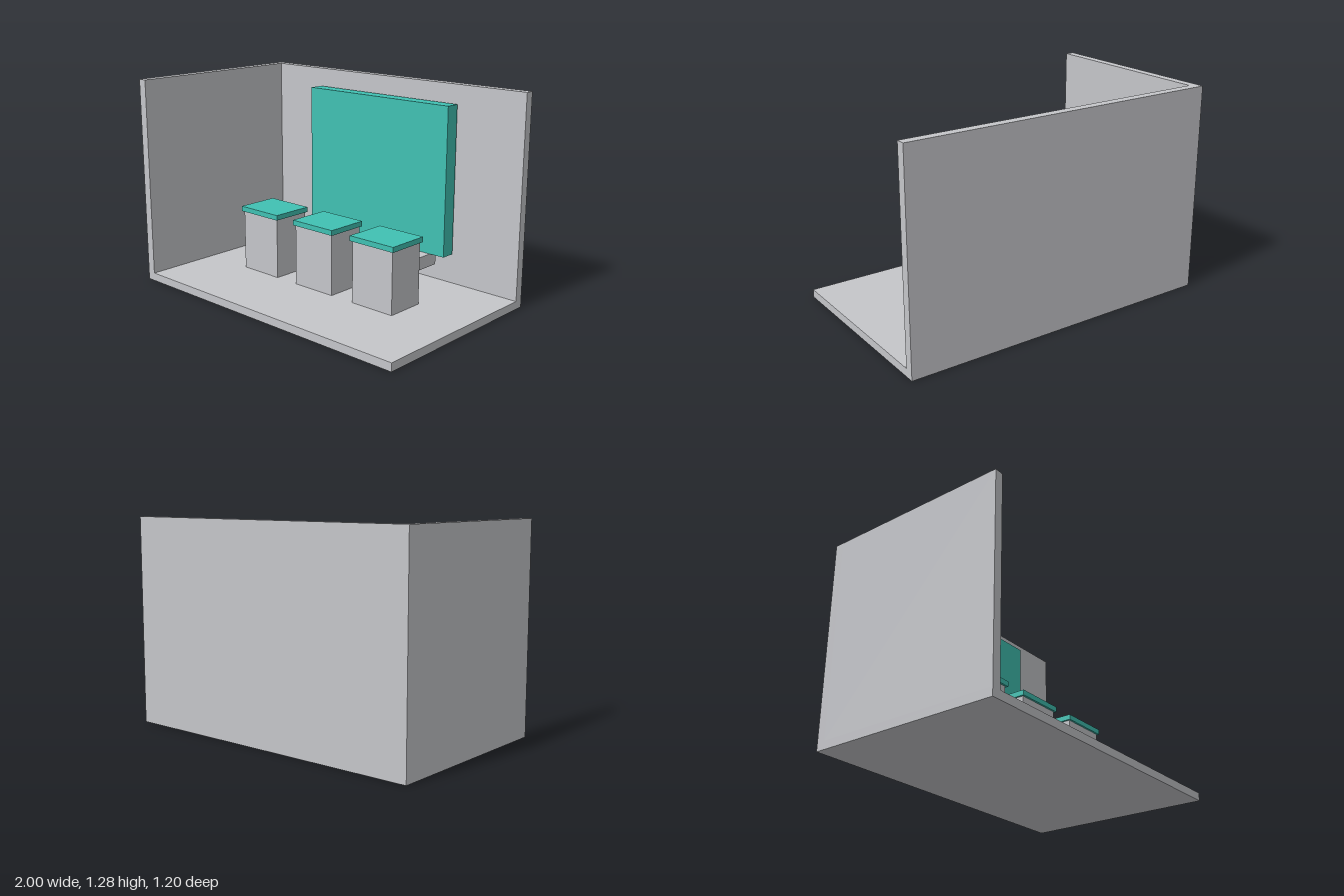
import * as THREE from 'three';

export function createModel() {
  const model = new THREE.Group();
  const grey = new THREE.MeshStandardMaterial({ color: 0xc5c6ca });
  grey.name = 'pale grey';
  const teal = new THREE.MeshStandardMaterial({ color: 0x40c1b3 });
  teal.name = 'teal';

  // Box given by its lower and upper limits on each axis
  const box = (name, material, [x0, x1], [y0, y1], [z0, z1], parent = model) => {
    const mesh = new THREE.Mesh(new THREE.BoxGeometry(x1 - x0, y1 - y0, z1 - z0), material);
    mesh.position.set((x0 + x1) / 2, (y0 + y1) / 2, (z0 + z1) / 2);
    mesh.name = name;
    parent.add(mesh);
  };

  // Room shell: floor, back wall and one side wall
  box('floor', grey, [-1, 1], [0, 0.05], [-0.6, 0.6]);
  box('backWall', grey, [-1, 1], [0.05, 1.28], [-0.6, -0.545]);
  box('sideWall', grey, [-1, -0.945], [0.05, 1.28], [-0.545, 0.6]);

  // Display panel standing on a shelf
  box('displayPanel', teal, [-0.55, 0.55], [0.243, 1.165], [-0.525, -0.435]);
  box('shelf', grey, [-0.447, 0.447], [0.163, 0.243], [-0.495, -0.32]);

  // Row of three pedestals with overhanging tops
  for (const x of [-0.46, 0, 0.46]) {
    const pedestal = new THREE.Group();
    pedestal.name = 'pedestal';
    pedestal.position.x = x;
    box('pedestalBase', grey, [-0.148, 0.148], [0.05, 0.427], [-0.123, 0.123], pedestal);
    box('pedestalTop', teal, [-0.16, 0.16], [0.427, 0.459], [-0.135, 0.135], pedestal);
    model.add(pedestal);
  }

  return model;
}
